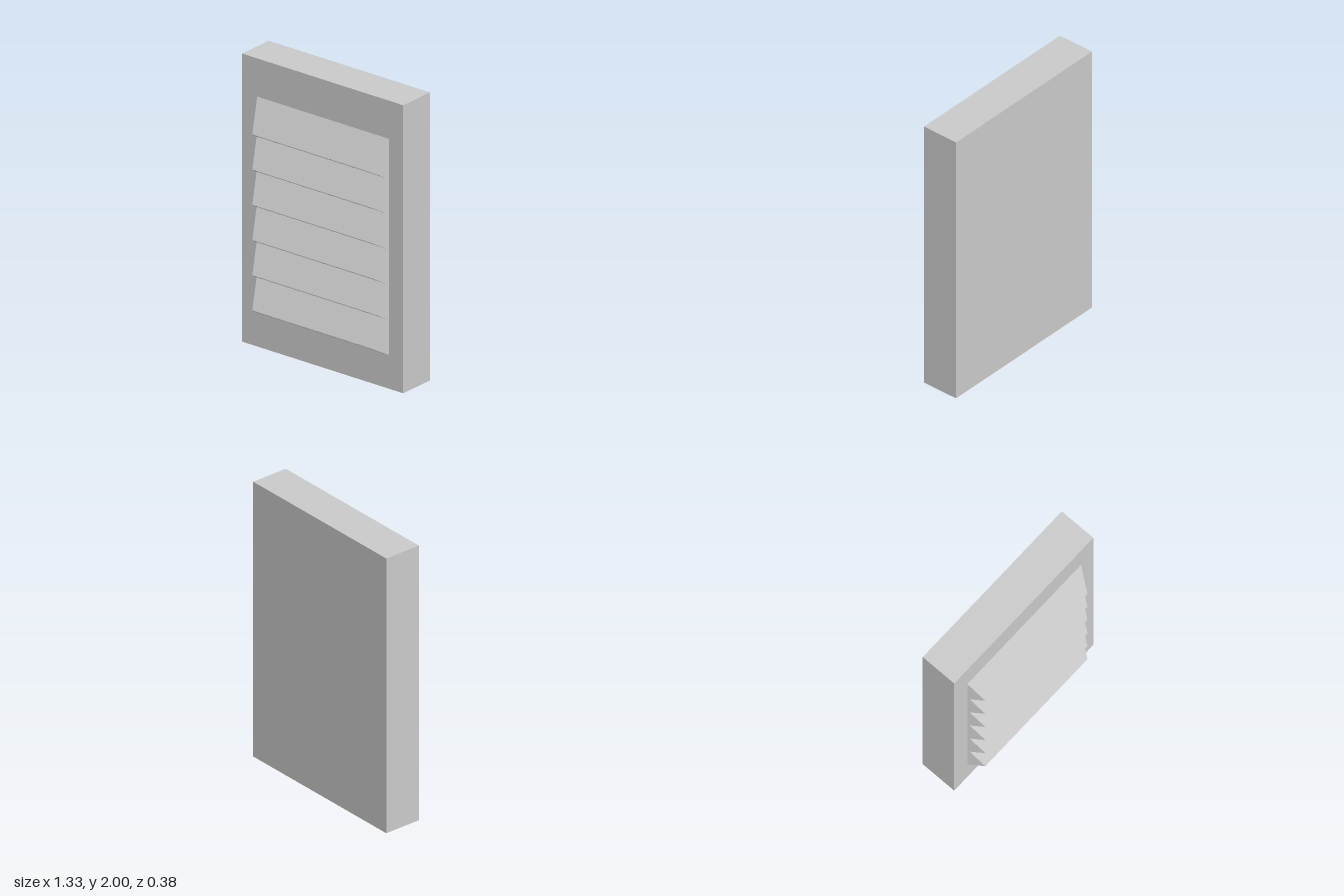
import * as THREE from 'three';

const material = new THREE.MeshStandardMaterial({ color: 0xcccccc, flatShading: true });

// Corners of a wedge: top, bottom and front edges, each as [left x, right x, y, z]
const corners = (edges) =>
  edges.flatMap(([l, r, y, z]) => [new THREE.Vector3(l, y, z), new THREE.Vector3(r, y, z)]);

// Hollow wedge-shaped louver, open through its slanted underside
function louverGeometry() {
  const outer = corners([
    [-0.54, 0.548, 0.28, 0.08],
    [-0.54, 0.548, 0, 0.08],
    [-0.49, 0.487, 0.067, 0.19],
  ]);
  const inner = corners([
    [-0.508, 0.516, 0.207, 0.1],
    [-0.508, 0.516, 0.012, 0.1],
    [-0.476, 0.473, 0.058, 0.176],
  ]);
  const points = [...outer, ...inner];
  const positions = [];
  const face = (...ids) => {
    for (let i = 1; i < ids.length - 1; i++) {
      for (const id of [ids[0], ids[i], ids[i + 1]]) positions.push(...points[id].toArray());
    }
  };

  // Slope, two cheeks and back; the cavity repeats them facing inward
  const walls = [[4, 5, 1, 0], [5, 3, 1], [4, 0, 2], [0, 1, 3, 2]];
  for (const wall of walls) {
    face(...wall);
    face(...wall.map((i) => i + 6).reverse());
  }
  // Rim around the opening
  const rim = [2, 3, 5, 4];
  rim.forEach((a, k) => {
    const b = rim[(k + 1) % 4];
    face(a, b, b + 6, a + 6);
  });

  const geometry = new THREE.BufferGeometry();
  geometry.setAttribute('position', new THREE.Float32BufferAttribute(positions, 3));
  geometry.computeVertexNormals();
  return geometry;
}

export function createModel() {
  const model = new THREE.Group();
  model.name = 'louveredVent';

  // Flat backing panel
  const panel = new THREE.Mesh(new THREE.BoxGeometry(1.33, 2, 0.27), material);
  panel.name = 'panel';
  panel.position.set(0, 1, -0.055);
  model.add(panel);

  // Stack of six overlapping louvers
  const louvers = new THREE.Group();
  louvers.name = 'louvers';
  const geometry = louverGeometry();
  for (let i = 0; i < 6; i++) {
    const louver = new THREE.Mesh(geometry, material);
    louver.name = `louver${i + 1}`;
    louver.position.y = 0.233 + i * 0.2444;
    louvers.add(louver);
  }
  model.add(louvers);

  return model;
}
